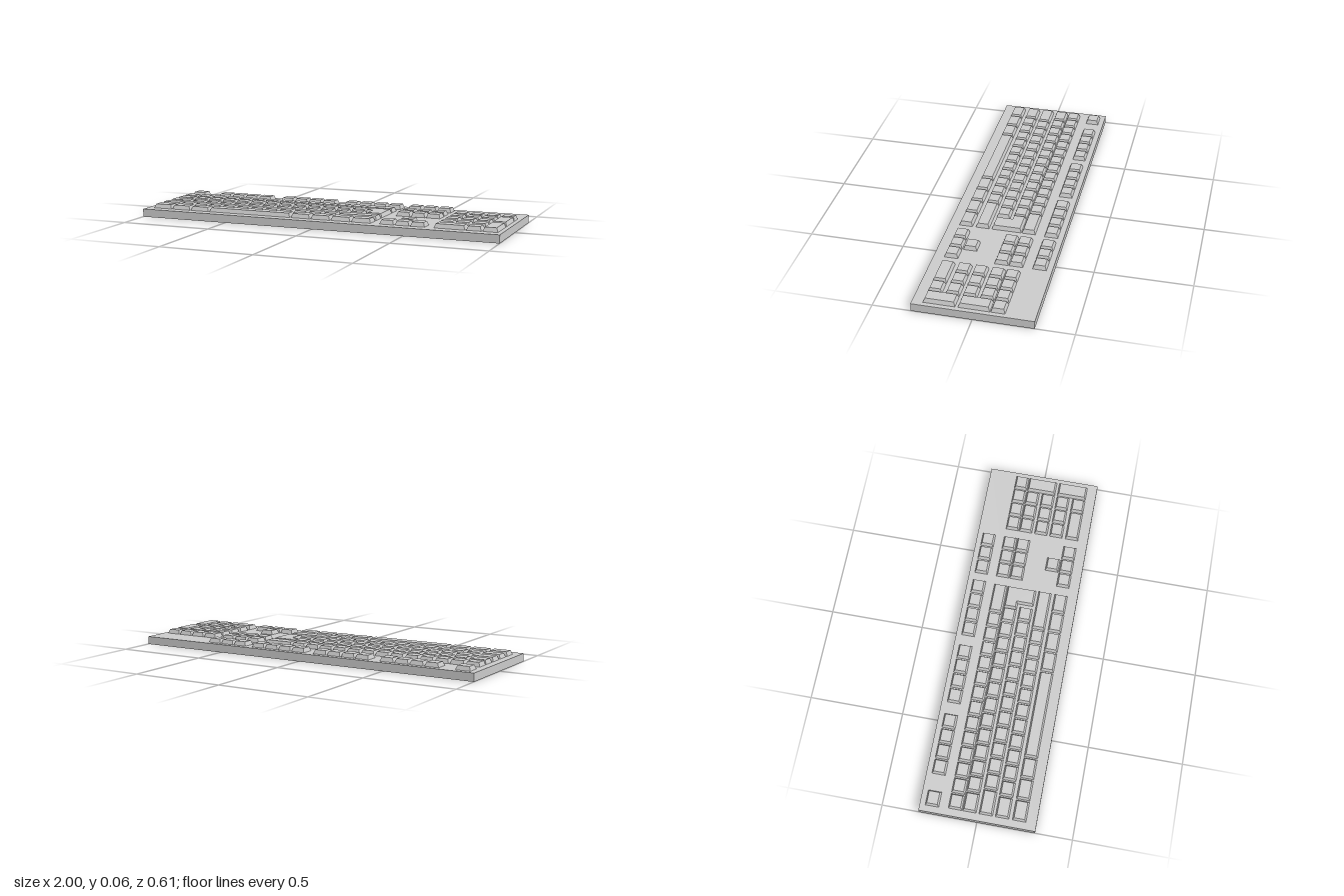
import * as THREE from 'three';

const BASE_H = 0.043, KEY_TOP = 0.065, INSET = 0.008, GAP = 0.007;
const UNIT = 0.085, LEFT = -0.965;
const DEPTH = 0.071;
const ROWS = [-0.156, -0.081, 0.005, 0.09, 0.179]; // back edge of each row
const FUNCTION_ROW = -0.276;

const material = new THREE.MeshStandardMaterial({ color: 0xcccccc, flatShading: true });

// Tapered cap from a right-angled outline of [x, z], anticlockwise seen from above
function taperedCap(outline) {
  const n = outline.length;
  const inward = i => {
    const a = outline[i], b = outline[(i + 1) % n];
    const dx = Math.sign(b[0] - a[0]), dz = Math.sign(b[1] - a[1]);
    return [dz, -dx];
  };
  const top = outline.map(([x, z], i) => {
    const p = inward((i + n - 1) % n), q = inward(i);
    return [x + (p[0] + q[0]) * INSET, z + (p[1] + q[1]) * INSET];
  });
  const pos = [];
  const put = ([x, z], y) => pos.push(x, y, z);
  for (let i = 0; i < n; i++) {
    const j = (i + 1) % n;
    put(outline[i], BASE_H); put(outline[j], BASE_H); put(top[j], KEY_TOP);
    put(outline[i], BASE_H); put(top[j], KEY_TOP); put(top[i], KEY_TOP);
  }
  const flat = top.map(([x, z]) => new THREE.Vector2(x, -z));
  for (const face of THREE.ShapeUtils.triangulateShape(flat, [])) {
    face.forEach(k => put(top[k], KEY_TOP));
  }
  const geo = new THREE.BufferGeometry();
  geo.setAttribute('position', new THREE.Float32BufferAttribute(pos, 3));
  geo.computeVertexNormals();
  return geo;
}

export function createModel() {
  const model = new THREE.Group();
  model.name = 'keyboard';

  const add = (parent, name, geo) => {
    const mesh = new THREE.Mesh(geo, material);
    mesh.name = name;
    parent.add(mesh);
  };
  const cluster = name => {
    const g = new THREE.Group();
    g.name = name;
    model.add(g);
    return g;
  };
  const key = (parent, name, x, z, w, d = DEPTH) =>
    add(parent, name, taperedCap([[x, z + d], [x + w, z + d], [x + w, z], [x, z]]));
  // A run of keys whose cell widths are given from left to right
  const run = (parent, name, x, z, widths) => {
    for (const w of widths) {
      key(parent, name, x + GAP / 2, z, w - GAP);
      x += w;
    }
  };
  const same = (count, w) => Array(count).fill(w);

  // Body slab
  const body = new THREE.BoxGeometry(2, BASE_H, 0.61);
  body.translate(0, BASE_H / 2, 0);
  add(model, 'body', body);

  // Escape key and three blocks of four function keys
  const functions = cluster('functionKeys');
  run(functions, 'escapeKey', -0.97, FUNCTION_ROW, [0.087]);
  for (const x of [-0.8, -0.406, -0.02]) run(functions, 'functionKey', x, FUNCTION_ROW, same(4, 0.084));

  // Main block, row widths in key units
  const main = cluster('mainKeys');
  const rows = [
    [...same(13, 1), 2],
    [1.26, ...same(12, 1.02)],
    [1.6, ...same(12, 1.01)],
    [1.35, ...same(11, 1), 2.65],
    [...same(3, 1.335), 5.655, ...same(4, 1.335)],
  ];
  rows.forEach((row, i) => run(main, 'key', LEFT, ROWS[i], row.map(w => w * UNIT)));

  // Stepped enter key across two rows
  const z0 = ROWS[1], z1 = ROWS[1] + DEPTH, z2 = ROWS[2] + DEPTH;
  add(main, 'enterKey', taperedCap([
    [0.214, z2], [0.306, z2], [0.306, z0], [0.18, z0], [0.18, z1], [0.214, z1],
  ]));

  // Navigation block and arrows
  const nav = cluster('navigationKeys');
  for (const z of [FUNCTION_ROW, ROWS[0], ROWS[1]]) run(nav, 'navigationKey', 0.352, z, same(3, 0.083));
  run(nav, 'arrowKey', 0.352, ROWS[4], same(3, 0.083));
  run(nav, 'upArrowKey', 0.435, 0.102, [0.083]);

  // Number pad with two tall keys on its right edge
  const pad = cluster('numberPad');
  const p = 0.0845, px = 0.642;
  run(pad, 'padKey', px, ROWS[0], same(4, p));
  for (let i = 1; i < 4; i++) run(pad, 'padKey', px, ROWS[i], same(3, p));
  run(pad, 'padKey', px, ROWS[4], [2 * p, p]);
  for (const i of [1, 3]) {
    key(pad, 'tallPadKey', px + 3 * p + GAP / 2, ROWS[i], p - GAP, ROWS[i + 1] + DEPTH - ROWS[i]);
  }

  return model;
}
